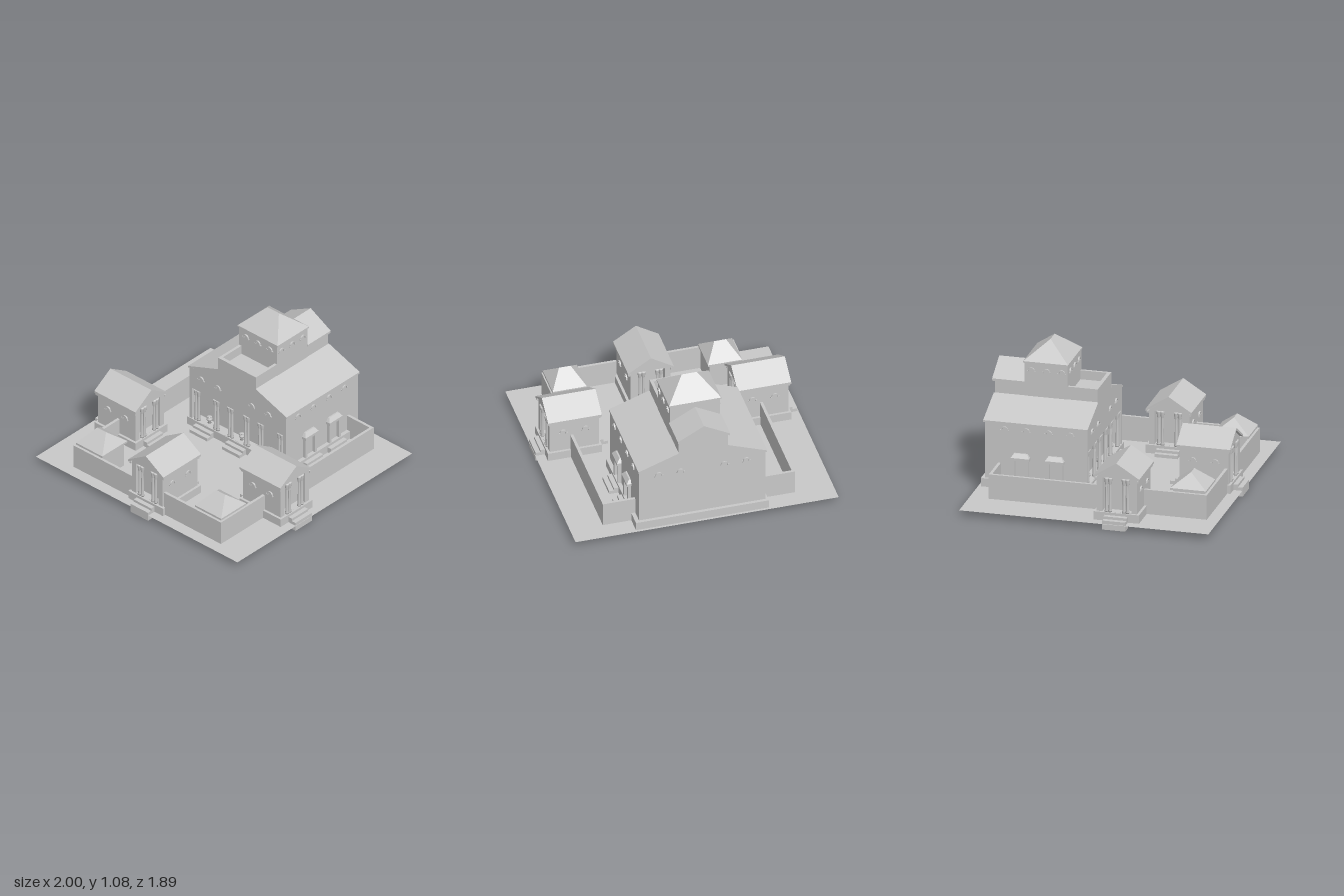
import * as THREE from 'three';
import { ConvexGeometry } from 'three/addons/geometries/ConvexGeometry.js';

const stone = new THREE.MeshStandardMaterial({ color: 0xc8c8c8, side: THREE.DoubleSide });
stone.name = 'grey stone';

const GROUND = 0.045, FLOOR = 0.11;

function add(parent, name, geometry, x = 0, y = 0, z = 0) {
  const mesh = new THREE.Mesh(geometry, stone);
  mesh.name = name;
  mesh.position.set(x, y, z);
  parent.add(mesh);
  return mesh;
}

// Box given by its extents
function block(parent, name, x0, x1, y0, y1, z0, z1) {
  return add(parent, name, new THREE.BoxGeometry(x1 - x0, y1 - y0, z1 - z0),
    (x0 + x1) / 2, (y0 + y1) / 2, (z0 + z1) / 2);
}

// Profile in x and y, extruded from z0 to z1, with an optional rectangular hole
function prism(parent, name, points, z0, z1, hole) {
  const shape = new THREE.Shape(points.map(p => new THREE.Vector2(...p)));
  if (hole) {
    const [a, b, c, d] = hole;
    shape.holes.push(new THREE.Path([[a, c], [a, d], [b, d], [b, c]].map(p => new THREE.Vector2(...p))));
  }
  return add(parent, name, new THREE.ExtrudeGeometry(shape, { depth: z1 - z0, bevelEnabled: false }), 0, 0, z0);
}

// Chevron roof with its ridge along z
function gableRoof(parent, x0, x1, eave, ridge, z0, z1, t = 0.018) {
  const m = (x0 + x1) / 2;
  prism(parent, 'gableRoof', [[x0, eave - t], [m, ridge - t], [x1, eave - t], [x1, eave], [m, ridge], [x0, eave]], z0, z1);
}

// Hipped roof on a thin eave slab, ridge along x
function hipRoof(parent, x0, x1, z0, z1, eave, ridge, r0, r1, t = 0.012) {
  block(parent, 'eave', x0, x1, eave - t, eave, z0, z1);
  const m = (z0 + z1) / 2;
  const pts = [[x0, eave, z0], [x1, eave, z0], [x1, eave, z1], [x0, eave, z1], [r0, ridge, m], [r1, ridge, m]];
  add(parent, 'hipRoof', new ConvexGeometry(pts.map(p => new THREE.Vector3(...p))));
}

// Arched window hood with small outward feet, facing +z before turning
const hoodShape = new THREE.Shape();
hoodShape.moveTo(0.033, -0.008);
hoodShape.lineTo(0.033, 0);
hoodShape.lineTo(0.026, 0);
hoodShape.absarc(0, 0, 0.026, 0, Math.PI, false);
hoodShape.lineTo(-0.033, 0);
hoodShape.lineTo(-0.033, -0.008);
hoodShape.lineTo(-0.018, -0.008);
hoodShape.lineTo(-0.018, 0);
hoodShape.absarc(0, 0, 0.018, Math.PI, 0, true);
hoodShape.lineTo(0.018, -0.008);
const hoodGeometry = new THREE.ExtrudeGeometry(hoodShape, { depth: 0.012, bevelEnabled: false, curveSegments: 8 });
function hood(parent, x, y, z, turn) {
  add(parent, 'windowHood', hoodGeometry, x, y, z).rotation.y = turn;
}

// Column with base and flared capital
const columnGeometry = new THREE.LatheGeometry([[0, 0], [0.015, 0], [0.015, 0.012], [0.011, 0.014], [0.009, 0.21],
  [0.011, 0.215], [0.017, 0.255], [0.017, 0.265], [0, 0.265]].map(p => new THREE.Vector2(...p)), 10);
function columnPair(parent, x, z) {
  for (const s of [-1, 1]) add(parent, 'column', columnGeometry, x + s * 0.014, FLOOR, z);
}

// Two steps leading out along +z from the group origin
function steps(parent, x, z, turn) {
  const g = new THREE.Group();
  g.name = 'steps';
  block(g, 'lowerStep', -0.0875, 0.0875, 0, 0.07, 0.034, 0.07);
  block(g, 'upperStep', -0.0875, 0.0875, 0, 0.09, 0, 0.034);
  g.position.set(x, 0, z);
  g.rotation.y = turn;
  parent.add(g);
}

// Gatehouse with a recessed, columned porch at each end
function pavilion(parent, name, x, z, turn) {
  const g = new THREE.Group();
  g.name = name;
  block(g, 'podium', -0.1725, 0.1725, GROUND, FLOOR, -0.205, 0.205);
  const profile = [[-0.153, FLOOR], [0.153, FLOOR], [0.153, 0.375], [0, 0.48], [-0.153, 0.375]];
  prism(g, 'hall', profile, -0.13, 0.13);
  for (const s of [-1, 1]) {
    prism(g, 'porchFront', profile, s > 0 ? 0.13 : -0.187, s > 0 ? 0.187 : -0.13, [-0.11, 0.11, FLOOR + 0.001, 0.372]);
    for (const c of [-0.066, 0.066]) columnPair(g, c, s * 0.182);
    block(g, 'eaveMoulding', s > 0 ? 0.153 : -0.168, s > 0 ? 0.168 : -0.153, 0.355, 0.372, -0.195, 0.195);
    for (const w of [-0.085, 0.085]) hood(g, s * 0.152, 0.27, w, s * Math.PI / 2);
    steps(g, 0, s * 0.205, s > 0 ? 0 : Math.PI);
  }
  gableRoof(g, -0.174, 0.174, 0.388, 0.498, -0.204, 0.204);
  g.position.set(x, 0, z);
  g.rotation.y = turn;
  parent.add(g);
}

function mainHall(parent) {
  const g = new THREE.Group();
  g.name = 'mainHall';
  block(g, 'podium', -0.475, 0.535, GROUND, FLOOR, -0.93, -0.12);

  // Aisled body with a columned loggia at the front
  const profile = [[-0.455, FLOOR], [0.505, FLOOR], [0.505, 0.545], [0.205, 0.655], [-0.17, 0.655], [-0.455, 0.545]];
  prism(g, 'body', profile, -0.905, -0.2);
  prism(g, 'loggiaFront', profile, -0.2, -0.127, [-0.43, 0.475, FLOOR + 0.001, 0.38]);
  for (const x of [-0.39, -0.2, -0.06, 0.1, 0.24, 0.435]) columnPair(g, x, -0.143);
  const urn = new THREE.LatheGeometry([[0, 0], [0.015, 0], [0.008, 0.01], [0.022, 0.03], [0.022, 0.04],
    [0.012, 0.05], [0.018, 0.056], [0, 0.056]].map(p => new THREE.Vector2(...p)), 10);
  for (const x of [-0.295, 0.025, 0.345]) {
    add(g, 'urn', urn, x, FLOOR, -0.17);
    steps(g, x, -0.12, 0);
  }

  // Aisle roofs
  prism(g, 'aisleRoof', [[-0.466, 0.545], [-0.17, 0.652], [-0.17, 0.67], [-0.466, 0.56]], -0.915, -0.123);
  prism(g, 'aisleRoof', [[0.512, 0.545], [0.512, 0.56], [0.205, 0.67], [0.205, 0.652]], -0.915, -0.123);

  // Front terrace with parapet
  block(g, 'terrace', -0.17, 0.205, 0.65, 0.7, -0.36, -0.127);
  block(g, 'parapet', -0.17, 0.205, 0.7, 0.77, -0.155, -0.127);
  block(g, 'parapet', -0.17, -0.148, 0.7, 0.77, -0.36, -0.155);
  block(g, 'parapet', 0.183, 0.205, 0.7, 0.77, -0.36, -0.155);

  // Tower
  block(g, 'tower', -0.172, 0.207, 0.65, 0.93, -0.683, -0.355);
  hipRoof(g, -0.182, 0.215, -0.69, -0.35, 0.94, 1.08, -0.042, 0.072);
  for (const x of [-0.1, 0.0175, 0.135]) hood(g, x, 0.868, -0.356, 0);
  for (const z of [-0.4, -0.515, -0.63]) {
    hood(g, 0.206, 0.868, z, Math.PI / 2);
    hood(g, -0.171, 0.868, z, -Math.PI / 2);
  }

  // Rear nave
  prism(g, 'rearNave', [[-0.17, 0.65], [0.205, 0.65], [0.205, 0.77], [0.0175, 0.875], [-0.17, 0.77]], -0.905, -0.68);
  gableRoof(g, -0.182, 0.215, 0.782, 0.89, -0.925, -0.68);

  // Window hoods around the body
  for (const x of [-0.335, -0.17, 0.165, 0.33]) {
    hood(g, x, 0.497, -0.128, 0);
    hood(g, x + 0.025, 0.497, -0.904, Math.PI);
  }
  for (const z of [-0.255, -0.42, -0.59, -0.755]) {
    hood(g, 0.504, 0.497, z, Math.PI / 2);
    hood(g, -0.454, 0.497, z, -Math.PI / 2);
  }

  // Side doorways with small hoods
  for (const s of [-1, 1]) for (const z of [-0.63, -0.37]) {
    const d = new THREE.Group();
    d.name = 'sideDoorway';
    for (const p of [-1, 1]) block(d, 'jamb', p * 0.052 - 0.01, p * 0.052 + 0.01, FLOOR, 0.28, 0, 0.025);
    block(d, 'lintel', -0.07, 0.07, 0.275, 0.295, 0, 0.036);
    const pts = [];
    for (const p of [-1, 1]) pts.push([p * 0.07, 0.295, 0], [p * 0.07, 0.295, 0.036], [p * 0.05, 0.325, 0], [p * 0.05, 0.325, 0.012]);
    add(d, 'doorRoof', new ConvexGeometry(pts.map(p => new THREE.Vector3(...p))));
    d.position.set(s > 0 ? 0.505 : -0.455, 0, z);
    d.rotation.y = s * Math.PI / 2;
    g.add(d);
    steps(g, s > 0 ? 0.535 : -0.475, z, s * Math.PI / 2);
  }
  parent.add(g);
}

// Courtyard wall and corner turrets
function enclosure(parent) {
  const g = new THREE.Group();
  g.name = 'enclosure';
  const top = 0.235, L = -0.71, R = 0.752, T = 0.022, F = 0.848, B = -0.805;
  block(g, 'leftWall', R - T, R, GROUND, top, B, F);
  block(g, 'rightWall', L, L + T, GROUND, top, B, F);
  block(g, 'frontWall', L + T, -0.13, GROUND, top, F - T, F);
  block(g, 'frontWall', 0.185, R - T, GROUND, top, F - T, F);
  block(g, 'backWall', L + T, -0.455, GROUND, top, B, B + T);
  block(g, 'backWall', 0.505, R - T, GROUND, top, B, B + T);
  for (const x of [-0.565, 0.615]) {
    block(g, 'turret', x - 0.115, x + 0.115, GROUND, 0.25, 0.585, 0.828);
    hipRoof(g, x - 0.13, x + 0.13, 0.567, 0.837, 0.26, 0.367, x - 0.044, x + 0.044, 0.015);
  }
  parent.add(g);
}

export function createModel() {
  const model = new THREE.Group();
  model.name = 'walledCompound';
  add(model, 'ground', new THREE.PlaneGeometry(2, 1.89).rotateX(-Math.PI / 2), 0, GROUND, -0.005);
  mainHall(model);
  pavilion(model, 'frontGatehouse', 0.027, 0.667, 0);
  pavilion(model, 'rightGatehouse', -0.717, 0.22, Math.PI / 2);
  pavilion(model, 'leftGatehouse', 0.722, 0.22, Math.PI / 2);
  enclosure(model);
  return model;
}
